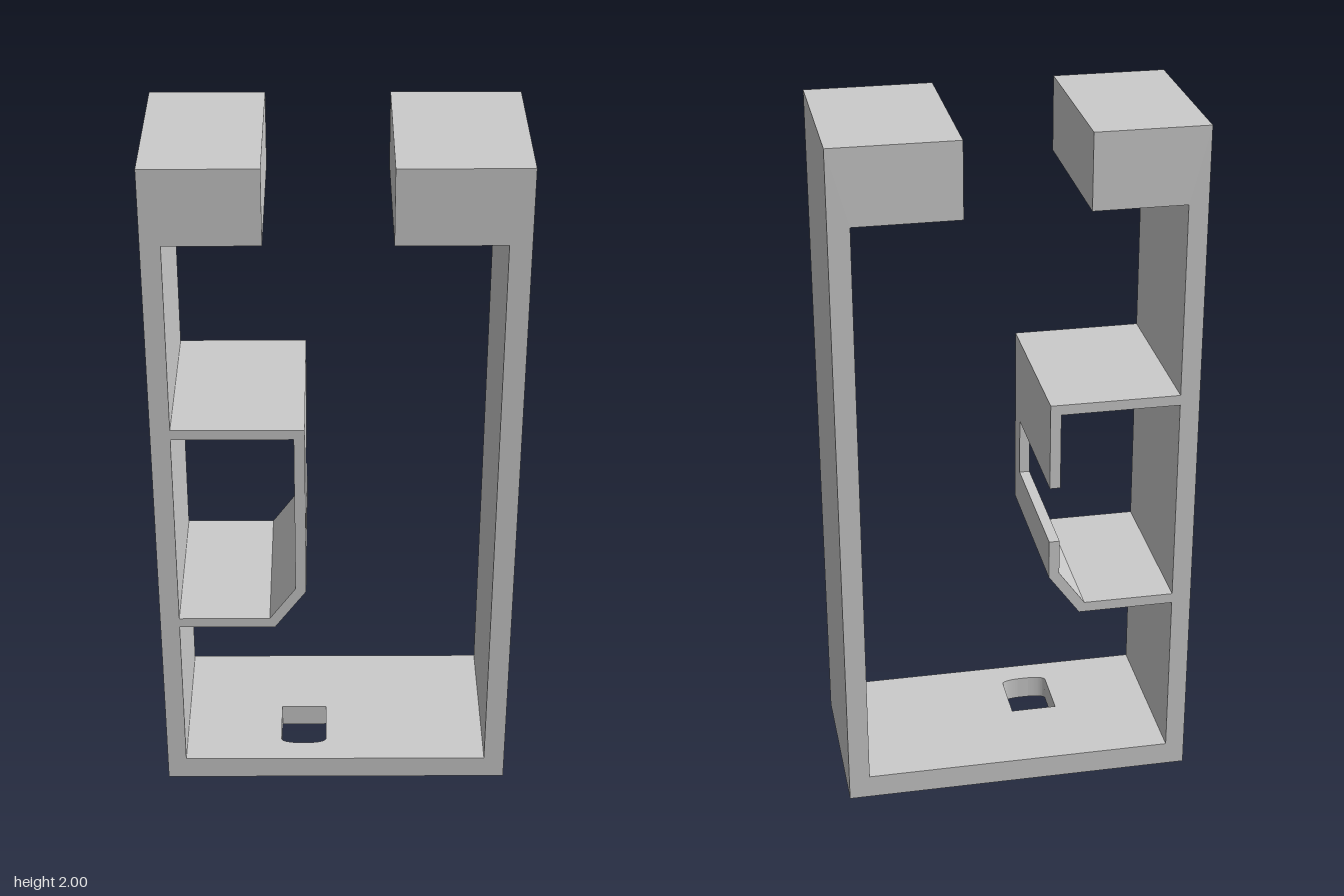
import * as THREE from 'three';

const HALF = 0.25; // half depth of the whole holder
const BASE = 0.07; // thickness of the base plate
const NOTCH_Z = 0.18; // front end of the notch in the bracket

export function createModel() {
  const model = new THREE.Group();
  const material = new THREE.MeshStandardMaterial({ color: 0xcccccc });

  const outline = (points) => new THREE.Shape(points.map(([x, y]) => new THREE.Vector2(x, y)));

  // Extrudes a front profile between two depths
  function addProfile(name, points, z0 = -HALF, z1 = HALF) {
    const geometry = new THREE.ExtrudeGeometry(outline(points), { depth: z1 - z0, bevelEnabled: false });
    geometry.translate(0, 0, z0);
    const mesh = new THREE.Mesh(geometry, material);
    mesh.name = name;
    model.add(mesh);
  }

  // Side walls, each with a thick lip turned inward at the top
  addProfile('rightWall', [
    [-0.505, BASE], [-0.45, BASE], [-0.45, 1.785], [-0.19, 1.785], [-0.19, 2], [-0.505, 2],
  ]);
  addProfile('leftWall', [
    [0.505, BASE], [0.505, 2], [0.15, 2], [0.15, 1.785], [0.445, 1.785], [0.445, BASE],
  ]);

  // Base plate with a slot whose front end is rounded (shape y becomes -z)
  const plate = outline([[-0.505, -HALF], [0.505, -HALF], [0.505, HALF], [-0.505, HALF]]);
  const slot = new THREE.Path();
  slot.moveTo(-0.165, -0.005);
  slot.lineTo(-0.03, -0.005);
  slot.lineTo(-0.03, -0.16);
  slot.quadraticCurveTo(-0.035, -0.174, -0.08, -0.177);
  slot.lineTo(-0.115, -0.177);
  slot.quadraticCurveTo(-0.16, -0.174, -0.165, -0.16);
  plate.holes.push(slot);
  const baseGeometry = new THREE.ExtrudeGeometry(plate, { depth: BASE, bevelEnabled: false });
  baseGeometry.rotateX(-Math.PI / 2);
  const base = new THREE.Mesh(baseGeometry, material);
  base.name = 'base';
  model.add(base);

  // Bracket: upper and lower arms, cut off at the given heights of the notch
  const upperArm = (y) => [
    [-0.085, y], [-0.085, 1.23], [-0.45, 1.23], [-0.45, 1.2], [-0.115, 1.2], [-0.115, y],
  ];
  const lowerArm = (y) => [
    [-0.115, y], [-0.115, 0.7], [-0.19, 0.595], [-0.45, 0.595], [-0.45, 0.565],
    [-0.175, 0.565], [-0.085, 0.69], [-0.085, y],
  ];
  addProfile('bracketUpperArm', upperArm(0.975));
  addProfile('bracketLowerArm', lowerArm(0.805));

  // Front strip that closes the notch and joins both arms
  addProfile('bracketFrontStrip', [
    [-0.115, 0.805], [-0.085, 0.805], [-0.085, 0.975], [-0.115, 0.975],
  ], NOTCH_Z, HALF);

  return model;
}
